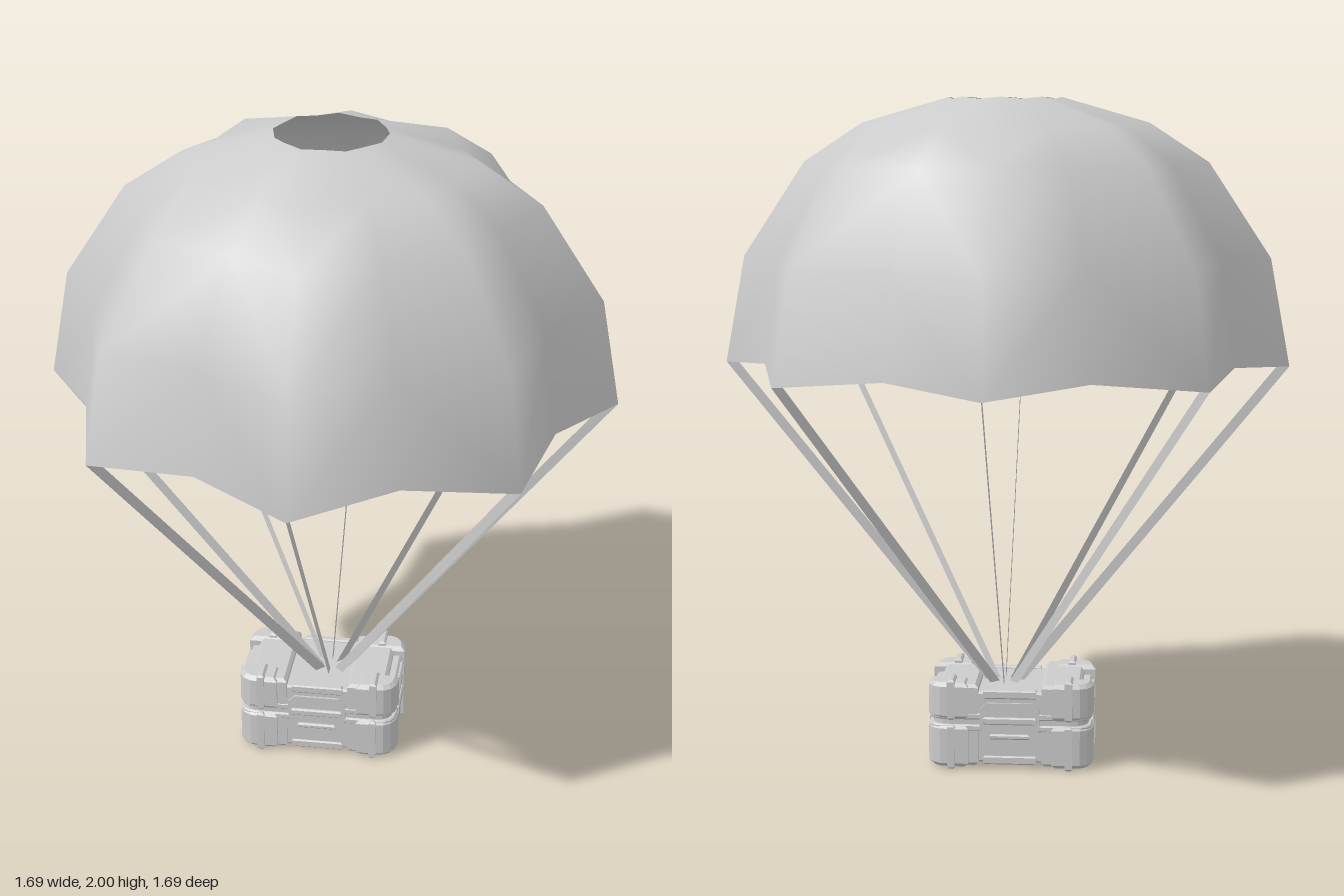
import * as THREE from 'three';

const grey = new THREE.MeshStandardMaterial({ color: 0xcccccc });
const cloth = new THREE.MeshStandardMaterial({ color: 0xcccccc, side: THREE.DoubleSide });

function add(parent, name, geometry, material = grey) {
  const mesh = new THREE.Mesh(geometry, material);
  mesh.name = name;
  parent.add(mesh);
  return mesh;
}

// Bevelled block from a plan rectangle; radii = corners (-x-z, +x-z, +x+z, -x+z)
function block(x0, x1, y0, y1, z0, z1, radii = [0, 0, 0, 0], b = 0.008) {
  const [r0, r1, r2, r3] = radii;
  const s = new THREE.Shape();
  // shape y is -z after the rotation
  s.moveTo(x0 + r3, -z1);
  s.lineTo(x1 - r2, -z1);
  if (r2) s.quadraticCurveTo(x1, -z1, x1, -z1 + r2);
  s.lineTo(x1, -z0 - r1);
  if (r1) s.quadraticCurveTo(x1, -z0, x1 - r1, -z0);
  s.lineTo(x0 + r0, -z0);
  if (r0) s.quadraticCurveTo(x0, -z0, x0, -z0 - r0);
  s.lineTo(x0, -z1 + r3);
  if (r3) s.quadraticCurveTo(x0, -z1, x0 + r3, -z1);
  const g = new THREE.ExtrudeGeometry(s, {
    depth: y1 - y0 - 2 * b, bevelEnabled: true, bevelThickness: b,
    bevelSize: b, bevelOffset: -b, bevelSegments: 1, curveSegments: 4,
  });
  g.rotateX(-Math.PI / 2);
  g.translate(0, y0 + b, 0);
  return g;
}

// Scalloped dome: ridges and valleys alternate round the rings, open at the crown
function canopyGeometry() {
  // ridge radius, ridge height, valley radius, valley height
  const rings = [
    [0.845, 1.21, 0.73, 1.238],
    [0.785, 1.53, 0.685, 1.54],
    [0.6, 1.81, 0.535, 1.805],
    [0.425, 1.925, 0.385, 1.915],
    [0.165, 2.0, 0.163, 1.994],
  ];
  const n = 16, pos = [], index = [];
  rings.forEach(([rr, ry, vr, vy], j) => {
    for (let i = 0; i < n; i++) {
      const a = (i / n) * Math.PI * 2, r = i % 2 ? vr : rr;
      pos.push(r * Math.sin(a), i % 2 ? vy : ry, r * Math.cos(a));
      if (j < rings.length - 1) {
        const k = (i + 1) % n, A = j * n + i, B = j * n + k;
        // diagonals mirror on either side of each ridge
        if (i % 2) index.push(A, B, A + n, B, B + n, A + n);
        else index.push(A, B, B + n, A, B + n, A + n);
      }
    }
  });
  const g = new THREE.BufferGeometry();
  g.setAttribute('position', new THREE.Float32BufferAttribute(pos, 3));
  g.setIndex(index);
  g.computeVertexNormals();
  return g;
}

// Flat ribbon standing in a radial plane, from crate lid to canopy rim
function ribbonGeometry() {
  const s = new THREE.Shape([
    new THREE.Vector2(0.02, 0.235), new THREE.Vector2(0.058, 0.235),
    new THREE.Vector2(0.845, 1.21), new THREE.Vector2(0.808, 1.21),
  ]);
  return new THREE.ShapeGeometry(s);
}

function createCrate() {
  const crate = new THREE.Group();
  crate.name = 'crate';
  const R = 0.055;

  add(crate, 'seam', block(-0.235, 0.235, 0.125, 0.165, -0.145, 0.145, [R, R, R, R], 0.003));

  // Lower and upper shells: [name, inner y, recessed y, outer y, strap y]
  const shells = [
    ['lower', 0.136, 0.02, 0.005, 0],
    ['upper', 0.152, 0.237, 0.265, 0.276],
  ];
  for (const [half, yi, yr, yo, ys] of shells) {
    const span = (y) => [Math.min(yi, y), Math.max(yi, y)];
    add(crate, half + 'Shell', block(-0.24, 0.24, ...span(yr), -0.147, 0.147, [R, R, R, R], 0.006));
    // Rim lip beside the seam
    const lip = half === 'upper' ? [yi, yi + 0.02] : [yi - 0.02, yi];
    add(crate, half + 'Lip', block(-0.246, 0.246, ...lip, -0.152, 0.152, [R, R, R, R], 0.004));

    for (const s of [-1, 1]) {
      const xs = (a, b) => (s > 0 ? [a, b] : [-b, -a]);
      // Raised end block
      add(crate, half + 'EndBlock',
        block(...xs(0.095, 0.215), ...span(yo + (yr - yo) * 0.2), -0.15, 0.15, [0, 0, 0, 0], 0.01));
      for (const t of [-1, 1]) {
        const zs = (a, b) => (t > 0 ? [a, b] : [-b, -a]);
        // Corner guard, rounded on its outer corner only
        const radii = [[-1, -1], [1, -1], [1, 1], [-1, 1]]
          .map(([cx, cz]) => (cx === s && cz === t ? 0.07 : 0));
        add(crate, half + 'CornerGuard',
          block(...xs(0.125, 0.25), ...span(yo), ...zs(0.075, 0.16), radii, 0.012));
        // Narrow strap over each guard
        add(crate, half + 'Strap',
          block(...xs(0.165, 0.188), ...span(ys), ...zs(0.085, 0.164), [0, 0, 0, 0], 0.006));
      }
    }
    // Panel and stepped rails along both long sides
    for (const t of [-1, 1]) {
      const zs = (a, b) => (t > 0 ? [a, b] : [-b, -a]);
      const edge = half === 'upper' ? [yr - 0.02, yr + 0.006] : [yr - 0.006, yr + 0.02];
      add(crate, half + 'Rail', block(-0.08, 0.08, ...edge, ...zs(0.128, 0.152), [0, 0, 0, 0], 0.004));
    }
  }

  for (const t of [-1, 1]) {
    // Long side latch: tapered plate with a bar across the seam
    const plate = new THREE.Shape([
      new THREE.Vector2(-0.07, 0.1), new THREE.Vector2(0.07, 0.1),
      new THREE.Vector2(0.09, 0.125), new THREE.Vector2(0.09, 0.185),
      new THREE.Vector2(0.07, 0.205), new THREE.Vector2(-0.07, 0.205),
      new THREE.Vector2(-0.09, 0.185), new THREE.Vector2(-0.09, 0.125),
    ]);
    const g = new THREE.ExtrudeGeometry(plate, { depth: 0.012, bevelEnabled: false });
    g.translate(0, 0, t > 0 ? 0.142 : -0.154);
    add(crate, 'latchPlate', g);
    const z = t > 0 ? [0.15, 0.163] : [-0.163, -0.15];
    add(crate, 'latchBar', block(-0.08, 0.08, 0.14, 0.162, ...z, [0, 0, 0, 0], 0.004));
    add(crate, 'latchFoot', block(-0.06, 0.06, 0.095, 0.11, ...z, [0, 0, 0, 0], 0.004));
    // End handle
    const x = t > 0 ? [0.235, 0.25] : [-0.25, -0.235];
    add(crate, 'endHandle', block(...x, 0.11, 0.14, -0.065, 0.065, [0, 0, 0, 0], 0.004));
    add(crate, 'endCatch', block(...x, 0.215, 0.228, -0.06, 0.06, [0, 0, 0, 0], 0.004));
  }

  crate.position.set(-0.025, 0, -0.004);
  return crate;
}

export function createModel() {
  const model = new THREE.Group();
  model.name = 'parachuteCrate';
  add(model, 'canopy', canopyGeometry(), cloth);
  const ribbon = ribbonGeometry();
  for (let i = 0; i < 8; i++) {
    add(model, 'suspensionLine', ribbon, cloth).rotation.y = (i * Math.PI) / 4;
  }
  model.add(createCrate());
  return model;
}
